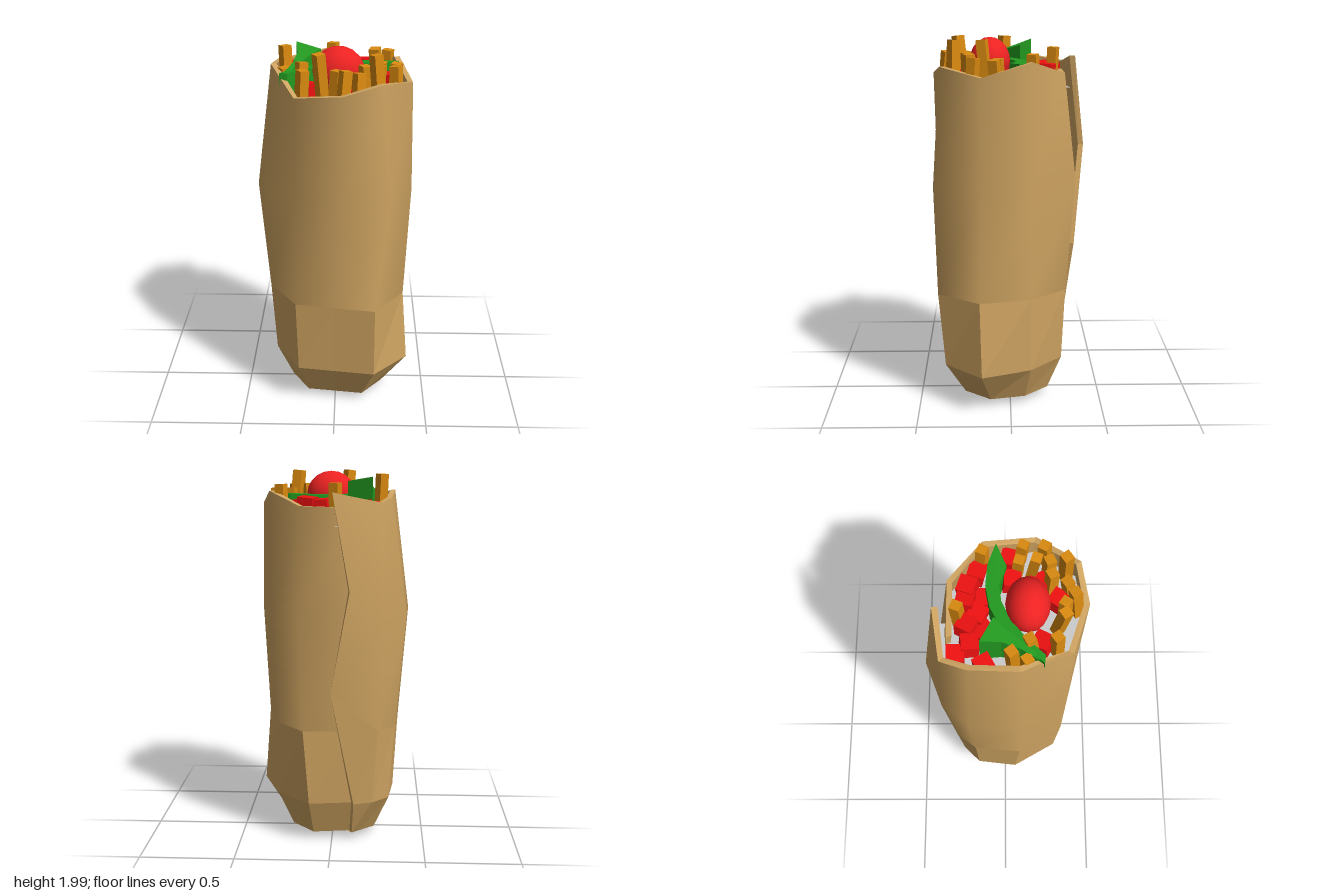
import * as THREE from 'three';

const mat = (color, extra = {}) => new THREE.MeshStandardMaterial({ color, ...extra });
const tan = mat(0xd0a562, { side: THREE.DoubleSide });
const tanFlat = mat(0xd0a562, { side: THREE.DoubleSide, flatShading: true });
const grey = mat(0xcccccc);
const red = mat(0xee1111, { flatShading: true });
const sauceRed = mat(0xee2222);
const gold = mat(0xd98a10, { flatShading: true });
const green = mat(0x239a20, { flatShading: true });

// Columns of the rolled sheet, from the hidden inner edge round to the outer flap.
// Each column: rim, belly, crease, lower bend, base as [x, z, y?]
const LEVELS = [1.84, 1.25, 0.64, 0.23, 0.04];
const COLUMNS = [
  [[-0.13, -0.28, 1.81], [-0.13, -0.32], [-0.13, -0.28], [-0.13, -0.25], [-0.11, -0.18]],
  [[0.16, -0.28, 1.82], [0.17, -0.345], [0.15, -0.3], [0.12, -0.285], [0.1, -0.21]],
  [[0.33, -0.11, 1.89], [0.33, -0.11], [0.31, -0.11], [0.3, -0.11], [0.22, -0.08]],
  [[0.39, 0.15, 1.82], [0.4, 0.15], [0.37, 0.165], [0.4, 0.155], [0.26, 0.11]],
  [[0.24, 0.36, 1.86], [0.28, 0.4], [0.215, 0.39], [0.215, 0.355], [0.15, 0.25]],
  [[0.04, 0.4, 1.81], [0.04, 0.39], [0.0, 0.355], [0.0, 0.325], [0.0, 0.23]],
  [[-0.2, 0.32, 1.78], [-0.21, 0.32], [-0.21, 0.32], [-0.2, 0.295], [-0.15, 0.21]],
  [[-0.33, 0.07, 1.89], [-0.41, 0.09], [-0.36, 0.08], [-0.335, 0.06], [-0.245, 0.05]],
  [[-0.31, -0.18, 1.86], [-0.39, -0.19], [-0.34, -0.17], [-0.31, -0.16], [-0.23, -0.11]],
  [[-0.26, -0.31, 1.84], [-0.28, -0.33], [-0.25, -0.28], [-0.22, -0.25], [-0.15, -0.18]],
  [[-0.01, -0.345, 1.89], [-0.1, -0.405, 1.4], [0.0, -0.355, 0.86], [-0.12, -0.285], [-0.11, -0.215]],
];
const outer = LEVELS.map((y, j) => COLUMNS.map((c) => new THREE.Vector3(c[j][0], c[j][2] ?? y, c[j][1])));
const inner = outer.map((row) => row.map((p) => {
  const s = 1 - 0.03 / Math.hypot(p.x, p.z);
  return new THREE.Vector3(p.x * s, p.y, p.z * s);
}));

// Surface through rows of points
function surface(rows) {
  const n = rows[0].length, index = [];
  for (let j = 0; j < rows.length - 1; j++) {
    for (let i = 0; i < n - 1; i++) {
      const a = j * n + i, d = a + n;
      index.push(a, a + 1, d + 1, a, d + 1, d);
    }
  }
  const g = new THREE.BufferGeometry().setFromPoints(rows.flat());
  g.setIndex(index);
  g.computeVertexNormals();
  return g;
}

// Vertical prism over an outline in x/z, its top following a height rule
function leaf(points, base, top) {
  const curve = new THREE.Shape(points.map(([x, z]) => new THREE.Vector2(x, -z)));
  const g = new THREE.ExtrudeGeometry(curve, { depth: 1, bevelEnabled: false });
  g.rotateX(-Math.PI / 2);
  const p = g.attributes.position;
  for (let i = 0; i < p.count; i++) p.setY(i, p.getY(i) > 0.5 ? top(p.getX(i), p.getZ(i)) : base);
  g.computeVertexNormals();
  return g;
}

export function createModel() {
  const model = new THREE.Group();
  const add = (name, geometry, material, parent = model) => {
    const m = new THREE.Mesh(geometry, material);
    m.name = name;
    parent.add(m);
    return m;
  };
  const group = (name) => {
    const g = new THREE.Group();
    g.name = name;
    model.add(g);
    return g;
  };

  // Rolled flatbread: smooth body, faceted folded end, rim and sheet edges
  const bread = group('flatbread');
  add('rolledBody', surface(outer.slice(0, 3)), tan, bread);
  add('foldedEnd', surface(outer.slice(2)), tanFlat, bread);
  const base = [...outer[4], outer[4][0]];
  add('base', surface([base, base.map(() => new THREE.Vector3(0, 0, 0))]), tanFlat, bread);
  add('innerWall', surface([...inner].reverse()), tan, bread);
  add('rim', surface([inner[0], outer[0]]), tanFlat, bread);
  for (const c of [0, COLUMNS.length - 1]) {
    add('sheetEdge', surface([outer.map((r) => r[c]), inner.map((r) => r[c])]), tanFlat, bread);
  }

  // Filling bed just below the rim
  const bed = inner[0].map((p, i) => p.clone().lerp(inner[1][i], 0.15).setY(1.72));
  bed.push(bed[0].clone());
  add('fillingBed', surface([bed.map(() => new THREE.Vector3(0, 1.72, 0)), bed]), grey);

  // Tomato
  const tomato = add('tomato', new THREE.SphereGeometry(1, 16, 10), sauceRed);
  tomato.scale.set(0.133, 0.125, 0.107);
  tomato.position.set(0.015, 1.865, 0.105);

  // Lettuce leaves
  const lettuce = group('lettuce');
  add('longLeaf', leaf([[0.325, -0.045], [0.22, -0.085], [0.11, -0.095], [0, -0.075], [-0.09, -0.03],
    [-0.18, 0.06], [-0.28, 0.18], [-0.24, 0.185], [-0.16, 0.1], [-0.06, 0.02], [0.03, -0.02],
    [0.11, -0.03], [0.21, 0.005]], 1.73, (x) => 1.87 + 0.1 * Math.max(0, x) * x), green, lettuce);
  add('broadLeaf', leaf([[-0.21, -0.12], [-0.08, -0.055], [-0.14, 0.01], [-0.19, 0.08], [-0.24, 0.17],
    [-0.27, 0.17], [-0.22, 0.07], [-0.2, -0.02]], 1.74, (x, z) => 1.92 - 0.36 * z), green, lettuce);

  // Diced pieces: x, z, height, turn
  const diced = group('dicedPieces');
  const cube = new THREE.BoxGeometry(0.085, 0.085, 0.085);
  [[-0.21, -0.235, 1.79, 0], [-0.165, -0.17, 1.8, 0.1], [-0.26, -0.1, 1.79, 0.5], [-0.07, -0.185, 1.8, -0.5],
    [0, -0.135, 1.78, -0.5], [0.055, -0.19, 1.81, -0.2], [0.125, -0.18, 1.82, -0.35], [0.205, -0.14, 1.8, -0.25],
    [0.09, -0.125, 1.75, 0], [-0.07, -0.105, 1.75, 0.6], [0.17, 0.03, 1.79, 0.05], [0.28, 0.02, 1.79, -0.25],
    [-0.145, 0.175, 1.78, -0.5], [0.07, 0.25, 1.78, -0.6], [0.16, 0.17, 1.78, 0.4],
  ].forEach(([x, z, y, turn], i) => {
    const m = add('dice', cube, red, diced);
    m.position.set(x, y, z);
    m.rotation.set(0.12 * Math.sin(i * 2), turn, 0.12 * Math.cos(i * 3));
  });

  // Fries: top x, top z, top height, turn, lean along x and z
  const fries = group('fries');
  const stick = new THREE.BoxGeometry(0.05, 0.3, 0.05).translate(0, -0.15, 0);
  [[-0.26, 0.025, 1.975, 0.6, -0.05, -0.08], [-0.26, 0.1, 1.88, 0.6, -0.04, 0.05], [-0.17, 0.11, 1.91, 0.5, 0.05, -0.1],
    [-0.16, 0.24, 1.9, 0.6, 0.06, 0.02], [-0.08, 0.275, 1.99, 0.6, -0.1, 0.05], [0.01, 0.28, 1.91, -0.6, 0.06, -0.05],
    [0.055, 0.325, 1.92, 0.5, 0.1, -0.05], [0.12, 0.29, 1.9, 0.6, 0.05, -0.1], [0.15, 0.22, 1.92, 0.5, 0.05, 0.05],
    [0.22, 0.21, 1.92, 0.4, 0.05, 0.05], [0.2, 0.285, 1.99, 0.6, -0.1, -0.08], [0.195, 0.145, 1.99, -0.3, -0.08, 0.12],
    [0.23, 0.065, 1.9, -0.3, 0, 0.05], [0.31, 0.085, 1.9, -0.4, 0.08, 0.06], [0.3, 0.185, 1.91, -0.5, -0.05, -0.05],
    [0.27, -0.11, 1.925, -0.4, 0.06, 0], [-0.02, -0.23, 1.935, -0.4, 0, -0.05],
  ].forEach(([x, z, y, turn, leanX, leanZ]) => {
    const m = add('fry', stick, gold, fries);
    m.position.set(x, y, z);
    m.rotation.set(leanZ, turn, -leanX);
  });

  return model;
}
